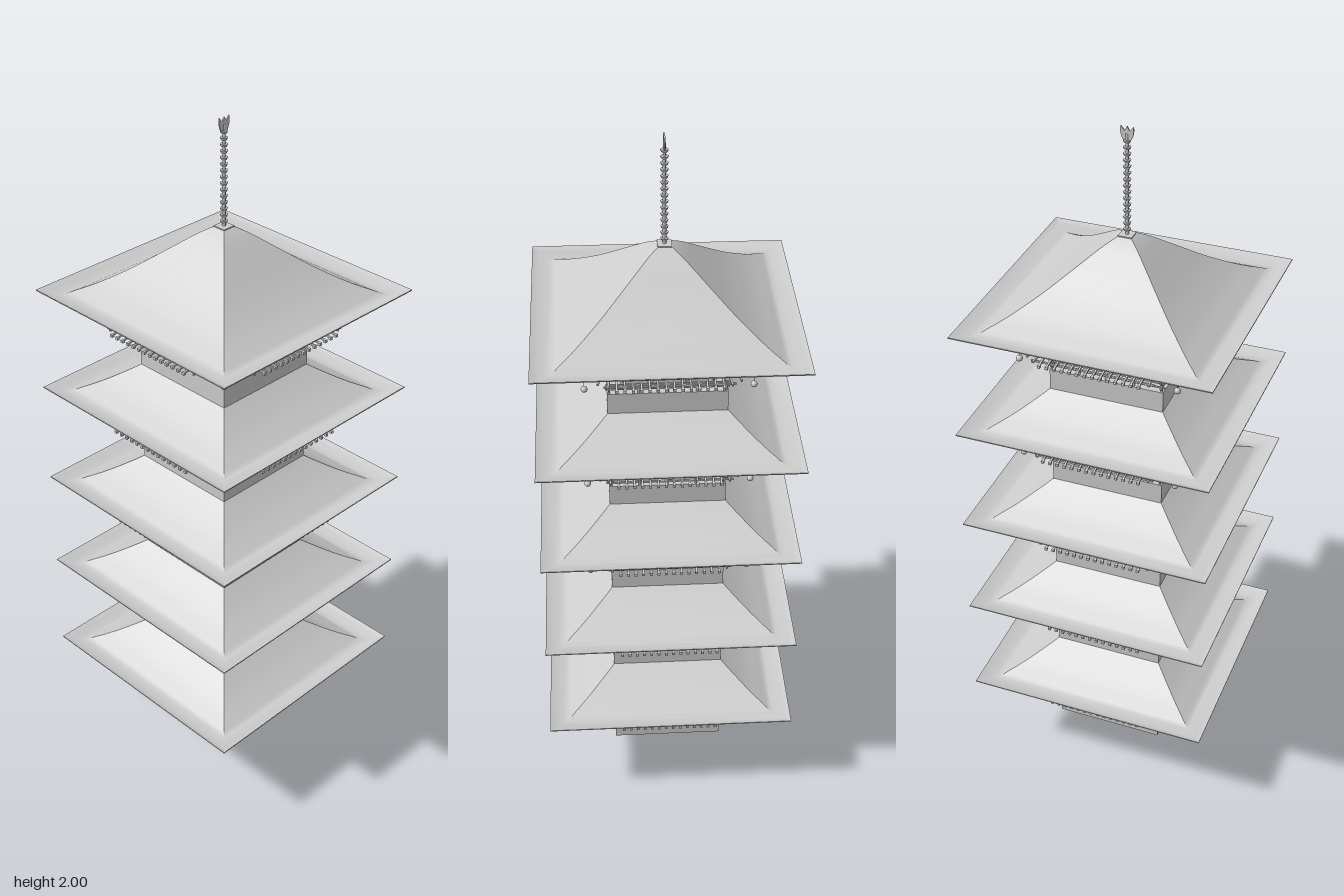
import * as THREE from 'three';
import { toCreasedNormals } from 'three/addons/utils/BufferGeometryUtils.js';

const grey = new THREE.MeshStandardMaterial({ color: 0xcccccc });
const TIER = 0.304; // height from one storey to the next

function add(parent, name, geometry, x = 0, y = 0, z = 0) {
  const m = new THREE.Mesh(geometry, grey);
  m.name = name;
  m.position.set(x, y, z);
  parent.add(m);
  return m;
}
const box = (parent, name, w, h, d, x, y, z) =>
  add(parent, name, new THREE.BoxGeometry(w, h, d), x, y, z);

// square beam running between two points
function beam(parent, name, a, b, t) {
  const from = new THREE.Vector3(...a), to = new THREE.Vector3(...b);
  const m = box(parent, name, t, t, from.distanceTo(to));
  m.position.copy(from).add(to).multiplyScalar(0.5);
  m.lookAt(to);
  return m;
}

// four-sided roof: a flared profile, underside first, then the tiled top
function roofGeometry() {
  const under = new THREE.SplineCurve([
    [0.22, -0.054], [0.26, -0.045], [0.31, -0.024], [0.355, -0.002],
  ].map(p => new THREE.Vector2(...p))).getPoints(8);
  const top = new THREE.SplineCurve([
    [0.355, 0.001], [0.31, -0.012], [0.28, 0], [0.24, 0.021], [0.2, 0.047],
    [0.16, 0.076], [0.1, 0.125], [0.05, 0.166], [0.02, 0.186],
  ].map(p => new THREE.Vector2(...p))).getPoints(20);
  const profile = [new THREE.Vector2(0, -0.054), ...under, ...top, new THREE.Vector2(0, 0.186)];
  profile.forEach(p => { p.x *= Math.SQRT2; });
  return toCreasedNormals(new THREE.LatheGeometry(profile, 4, Math.PI / 4), 0.45);
}

// one face of a storey, looking towards +z; heights are relative to the eave edge
function createSide() {
  const side = new THREE.Group();
  side.name = 'storeySide';

  // wall columns, lintels, door and lattice windows
  const column = new THREE.CylinderGeometry(0.007, 0.007, 0.115, 8);
  for (const x of [-0.118, -0.045, 0.045]) add(side, 'column', column, x, -0.11, 0.118);
  box(side, 'lintel', 0.24, 0.008, 0.008, 0, -0.072, 0.118);
  box(side, 'sill', 0.24, 0.008, 0.008, 0, -0.15, 0.118);
  for (const s of [-1, 1]) {
    box(side, 'doorLeaf', 0.032, 0.07, 0.005, s * 0.018, -0.111, 0.115);
    for (let i = 0; i < 5; i++)
      box(side, 'windowBar', 0.004, 0.05, 0.005, s * (0.064 + i * 0.009), -0.11, 0.115);
  }

  // balcony railing
  for (const y of [-0.156, -0.143]) box(side, 'rail', 0.33, 0.004, 0.004, 0, y, 0.155);
  for (let i = 0; i < 5; i++)
    box(side, 'railPost', 0.005, 0.03, 0.005, -0.155 + i * 0.0775, -0.154, 0.155);

  // rafters sloping outwards beneath the eave
  for (let i = 0; i < 14; i++) {
    const x = -0.137 + i * 0.274 / 13;
    beam(side, 'rafter', [x, -0.057, 0.11], [x, -0.08, 0.283], 0.005);
    box(side, 'rafterEnd', 0.008, 0.008, 0.008, x, -0.081, 0.281);
  }
  // purlins crossing the rafters
  for (const [z, y, half] of [[0.15, -0.073, 0.18], [0.185, -0.076, 0.2], [0.22, -0.082, 0.21], [0.255, -0.084, 0.17]])
    box(side, 'purlin', half * 2, 0.005, 0.005, 0, y, z);
  // stepped brackets above each column
  for (const x of [-0.118, -0.045, 0.045, 0.118]) {
    beam(side, 'bracketArm', [x, -0.092, 0.115], [x, -0.085, 0.23], 0.007);
    box(side, 'bracketBlock', 0.026, 0.008, 0.01, x, -0.08, 0.15);
    box(side, 'bracketBlock', 0.02, 0.008, 0.01, x, -0.086, 0.2);
  }

  // diagonal corner beam, its side struts and the hanging bell
  beam(side, 'cornerBeam', [0.11, -0.062, 0.11], [0.22, -0.079, 0.22], 0.009);
  beam(side, 'cornerBracket', [0.115, -0.09, 0.115], [0.19, -0.088, 0.19], 0.008);
  beam(side, 'cornerStrut', [0.14, -0.066, 0.14], [0.16, -0.08, 0.27], 0.005);
  beam(side, 'cornerStrut', [0.14, -0.066, 0.14], [0.27, -0.08, 0.16], 0.005);
  beam(side, 'cornerStrut', [0.165, -0.07, 0.165], [0.185, -0.08, 0.25], 0.005);
  beam(side, 'cornerStrut', [0.165, -0.07, 0.165], [0.25, -0.08, 0.185], 0.005);
  add(side, 'bellCord', new THREE.CylinderGeometry(0.001, 0.001, 0.028, 5), 0.22, -0.092, 0.22);
  add(side, 'bell', new THREE.SphereGeometry(0.009, 10, 8), 0.22, -0.11, 0.22);
  return side;
}

function createStorey() {
  const storey = new THREE.Group();
  box(storey, 'balconyBase', 0.322, 0.066, 0.322, 0, -0.201, 0);
  box(storey, 'walls', 0.23, 0.12, 0.23, 0, -0.11, 0);
  const side = createSide();
  for (let i = 0; i < 4; i++) {
    const s = side.clone();
    s.rotation.y = i * Math.PI / 2;
    storey.add(s);
  }
  add(storey, 'roof', roofGeometry());
  return storey;
}

// rod with stacked rings and a flat flame ornament
function createFinial() {
  const finial = new THREE.Group();
  finial.name = 'finial';
  box(finial, 'finialBase', 0.038, 0.006, 0.038, 0, 1.7, 0);
  add(finial, 'mast', new THREE.CylinderGeometry(0.004, 0.005, 0.28, 6), 0, 1.84, 0);
  const ring = new THREE.CylinderGeometry(0.011, 0.008, 0.007, 6);
  for (let i = 0; i < 15; i++) add(finial, 'mastRing', ring, 0, 1.715 + i * 0.0175, 0);
  const flame = new THREE.Shape();
  flame.moveTo(-0.004, 1.955);
  flame.quadraticCurveTo(-0.022, 1.975, -0.017, 2);
  flame.lineTo(-0.007, 1.988);
  flame.lineTo(0, 2);
  flame.lineTo(0.007, 1.988);
  flame.lineTo(0.017, 2);
  flame.quadraticCurveTo(0.022, 1.975, 0.004, 1.955);
  const g = new THREE.ExtrudeGeometry(flame, { depth: 0.004, bevelEnabled: false, curveSegments: 6 });
  add(finial, 'flame', g, 0, 0, -0.002);
  return finial;
}

// round spoked plate and point beneath the lowest storey
function createFoot() {
  const foot = new THREE.Group();
  foot.name = 'foot';
  const rim = new THREE.Shape().absarc(0, 0, 0.125, 0, Math.PI * 2);
  rim.holes.push(new THREE.Path().absarc(0, 0, 0.105, 0, Math.PI * 2, true));
  const g = new THREE.ExtrudeGeometry(rim, { depth: 0.015, bevelEnabled: false, curveSegments: 32 });
  g.rotateX(-Math.PI / 2);
  add(foot, 'footRim', toCreasedNormals(g, 0.6), 0, 0.053, 0);
  for (let i = 0; i < 24; i++) {
    const a = i * Math.PI / 12, c = Math.cos(a), s = Math.sin(a);
    beam(foot, 'footSpoke', [0.02 * c, 0.06, 0.02 * s], [0.11 * c, 0.06, 0.11 * s], 0.006);
  }
  const profile = [[0, 0], [0.028, 0.045], [0.03, 0.052], [0.024, 0.068]].map(p => new THREE.Vector2(...p));
  add(foot, 'footPoint', toCreasedNormals(new THREE.LatheGeometry(profile, 16), 0.6));
  return foot;
}

export function createModel() {
  const model = new THREE.Group();
  model.name = 'pagoda';
  const storey = createStorey();
  for (let i = 0; i < 5; i++) {
    const s = storey.clone();
    s.name = 'storey' + (i + 1);
    s.position.y = 0.298 + i * TIER;
    model.add(s);
  }
  model.add(createFinial(), createFoot());
  return model;
}
